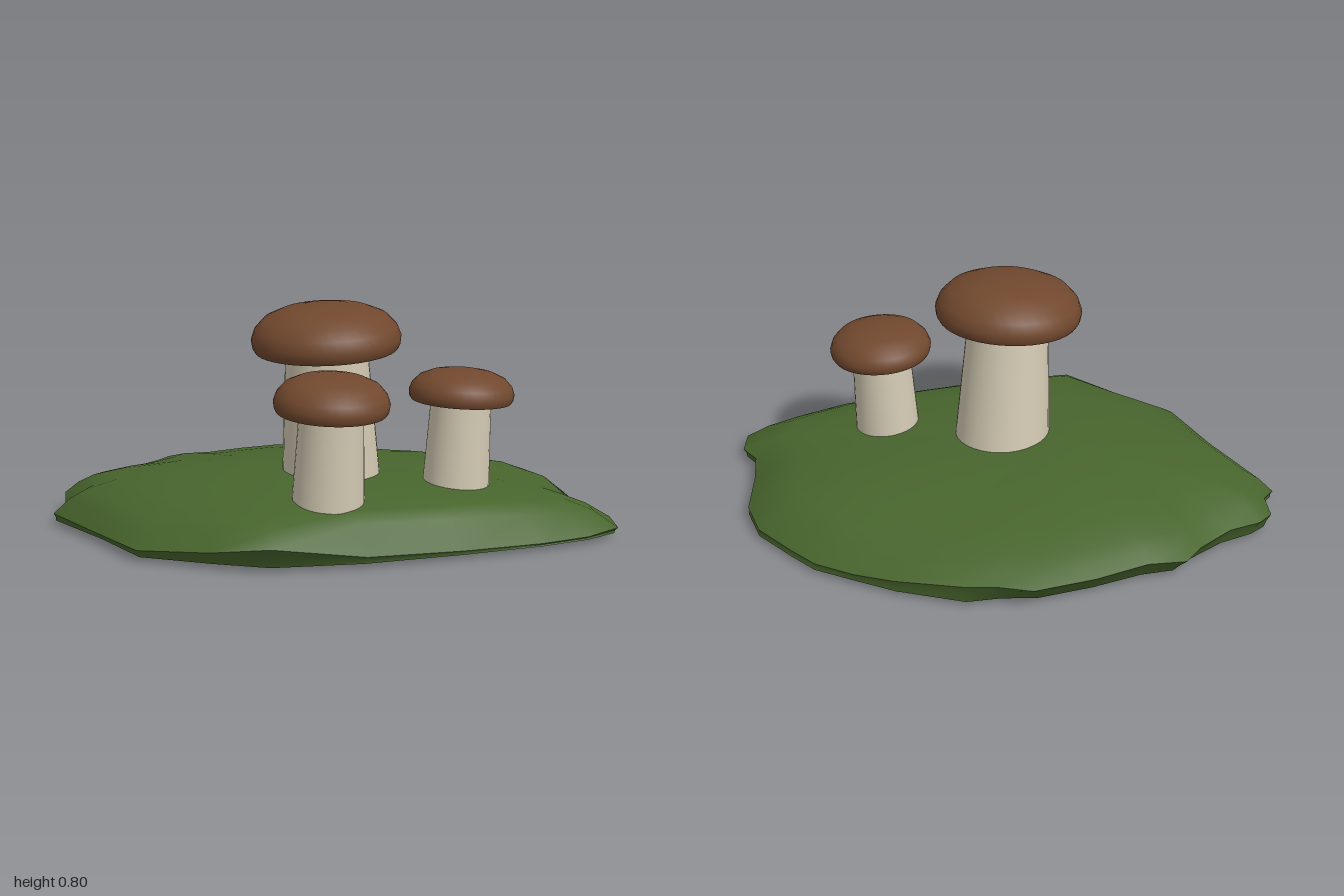
import * as THREE from 'three';
import { toCreasedNormals } from 'three/addons/utils/BufferGeometryUtils.js';

function paint(name, color) {
  const m = new THREE.MeshStandardMaterial({ color });
  m.name = name;
  return m;
}

function part(name, geometry, material) {
  const mesh = new THREE.Mesh(geometry, material);
  mesh.name = name;
  return mesh;
}

// Ground outline, clockwise from the right tip: x, z, rim height, scale of the foot,
// power of the rise (below 1 makes a steep bank, above 1 a shallow one)
const OUTLINE = [
  [-1, 0, 0.07, 0.97, 1], [-0.97, -0.06, 0.07, 0.96, 1], [-0.88, -0.15, 0.08, 0.95, 1.1],
  [-0.8, -0.3, 0.09, 0.92, 1.2], [-0.77, -0.39, 0.09, 0.9, 1.2], [-0.65, -0.44, 0.09, 0.92, 1.2],
  [-0.5, -0.57, 0.09, 0.91, 1.2], [-0.32, -0.69, 0.09, 0.91, 1.2], [-0.2, -0.7, 0.09, 0.94, 1.2],
  [-0.09, -0.73, 0.09, 0.97, 1.2], [0.15, -0.72, 0.06, 0.99, 1.1], [0.3, -0.7, 0.045, 0.99, 1],
  [0.45, -0.67, 0.04, 1, 0.9], [0.55, -0.62, 0.04, 1, 0.85], [0.71, -0.53, 0.04, 1, 0.8],
  [0.8, -0.41, 0.04, 1, 0.8], [0.85, -0.23, 0.045, 0.99, 0.8], [0.9, -0.1, 0.045, 0.99, 0.9],
  [0.97, -0.05, 0.045, 0.99, 1], [1, 0.06, 0.035, 0.99, 0.9], [0.9, 0.16, 0.025, 1, 0.75],
  [0.75, 0.27, 0.025, 1, 0.6], [0.5, 0.42, 0.03, 0.99, 0.5], [0.2, 0.58, 0.04, 0.98, 0.45],
  [-0.09, 0.72, 0.09, 0.92, 0.75], [-0.3, 0.68, 0.06, 0.95, 0.9], [-0.56, 0.62, 0.04, 0.98, 1],
  [-0.75, 0.42, 0.035, 0.98, 1], [-0.98, 0.2, 0.04, 0.99, 1], [-0.96, 0.13, 0.05, 0.98, 1],
];
const PEAK = [-0.25, 0.05, 0.22]; // x, z, height

// Dome above the rim: distance from the peak, share of the rise
const DOME = [[0.93, 0.28], [0.85, 0.48], [0.7, 0.68], [0.5, 0.83], [0.28, 0.94], [0.12, 0.985]];

function ringPoint([x, z], scale, y) {
  return [PEAK[0] + (x - PEAK[0]) * scale, y, PEAK[1] + (z - PEAK[1]) * scale];
}

function geometryFrom(points, index) {
  const g = new THREE.BufferGeometry();
  g.setAttribute('position', new THREE.Float32BufferAttribute(points.flat(), 3));
  g.setIndex(index);
  g.computeVertexNormals();
  return g;
}

function buildGround(material) {
  const group = new THREE.Group();
  group.name = 'mossyGround';
  const n = OUTLINE.length;
  const foot = OUTLINE.map((p) => ringPoint(p, p[3], 0.015));

  // Rings run from the foot, over the rim, up to the peak
  const rings = [
    foot,
    OUTLINE.map((p) => ringPoint(p, (1 + p[3]) / 2 - 0.004, 0.008 + p[2] / 2)),
    OUTLINE.map((p) => ringPoint(p, 1, p[2])),
    ...DOME.map(([t, f]) => OUTLINE.map((p) => ringPoint(p, t, p[2] + (PEAK[2] - p[2]) * f ** p[4]))),
  ];
  const points = rings.flat();
  const index = [];
  for (let r = 0; r < rings.length - 1; r++) {
    for (let i = 0; i < n; i++) {
      const j = (i + 1) % n;
      const a = r * n + i, b = r * n + j, c = a + n, d = b + n;
      index.push(a, c, b, b, c, d);
    }
  }
  const last = (rings.length - 1) * n;
  const top = points.push([PEAK[0], PEAK[2], PEAK[1]]) - 1;
  for (let i = 0; i < n; i++) index.push(last + i, top, last + (i + 1) % n);
  group.add(part('mound', toCreasedNormals(geometryFrom(points, index), 0.9), material));

  // Nearly flat underside
  const under = [...foot, [0, 0, 0]];
  const underIndex = [];
  for (let i = 0; i < n; i++) underIndex.push(n, i, (i + 1) % n);
  group.add(part('groundUnderside', geometryFrom(under, underIndex), material));
  return group;
}

// Cap profile as fractions of cap radius and cap height
const CAP = [[0.95, 0], [0.985, 0.1], [1, 0.27], [0.95, 0.5], [0.82, 0.73], [0.6, 0.89], [0.33, 0.975], [0.001, 1]];

function buildMushroom(name, { base, top, stemRadii, capRadius, capHeight }, mats) {
  const group = new THREE.Group();
  group.name = name;
  const start = new THREE.Vector3(...base);
  const axis = new THREE.Vector3(...top).sub(start);
  const length = axis.length();
  group.position.copy(start);
  group.quaternion.setFromUnitVectors(new THREE.Vector3(0, 1, 0), axis.normalize());

  const stem = part('stem', new THREE.CylinderGeometry(stemRadii[1], stemRadii[0], length, 32, 1, true), mats.stem);
  stem.position.y = length / 2;

  const profile = CAP.map(([r, y]) => new THREE.Vector2(r * capRadius, y * capHeight));
  const cap = part('cap', new THREE.LatheGeometry(profile, 40), mats.cap);
  cap.position.y = length;

  const gills = part('gills', new THREE.CircleGeometry(CAP[0][0] * capRadius, 40), mats.gills);
  gills.rotation.x = Math.PI / 2;
  gills.position.y = length;

  group.add(stem, cap, gills);
  return group;
}

export function createModel() {
  const model = new THREE.Group();
  model.name = 'mushroomPatch';
  const mats = {
    moss: paint('moss green', 0x48652d),
    stem: paint('pale stem', 0xd3cab3),
    cap: paint('brown cap', 0x71482e),
    gills: paint('olive gills', 0x70664a),
  };

  model.add(buildGround(mats.moss));
  model.add(buildMushroom('largeMushroom', {
    base: [0, 0.15, 0.08], top: [-0.01, 0.645, 0.122],
    stemRadii: [0.174, 0.142], capRadius: 0.259, capHeight: 0.155,
  }, mats));
  model.add(buildMushroom('frontMushroom', {
    base: [0.04, 0.12, 0.413], top: [0.058, 0.487, 0.438],
    stemRadii: [0.124, 0.107], capRadius: 0.193, capHeight: 0.124,
  }, mats));
  model.add(buildMushroom('sideMushroom', {
    base: [0.434, 0.12, 0.073], top: [0.451, 0.469, 0.07],
    stemRadii: [0.118, 0.104], capRadius: 0.182, capHeight: 0.11,
  }, mats));
  return model;
}
